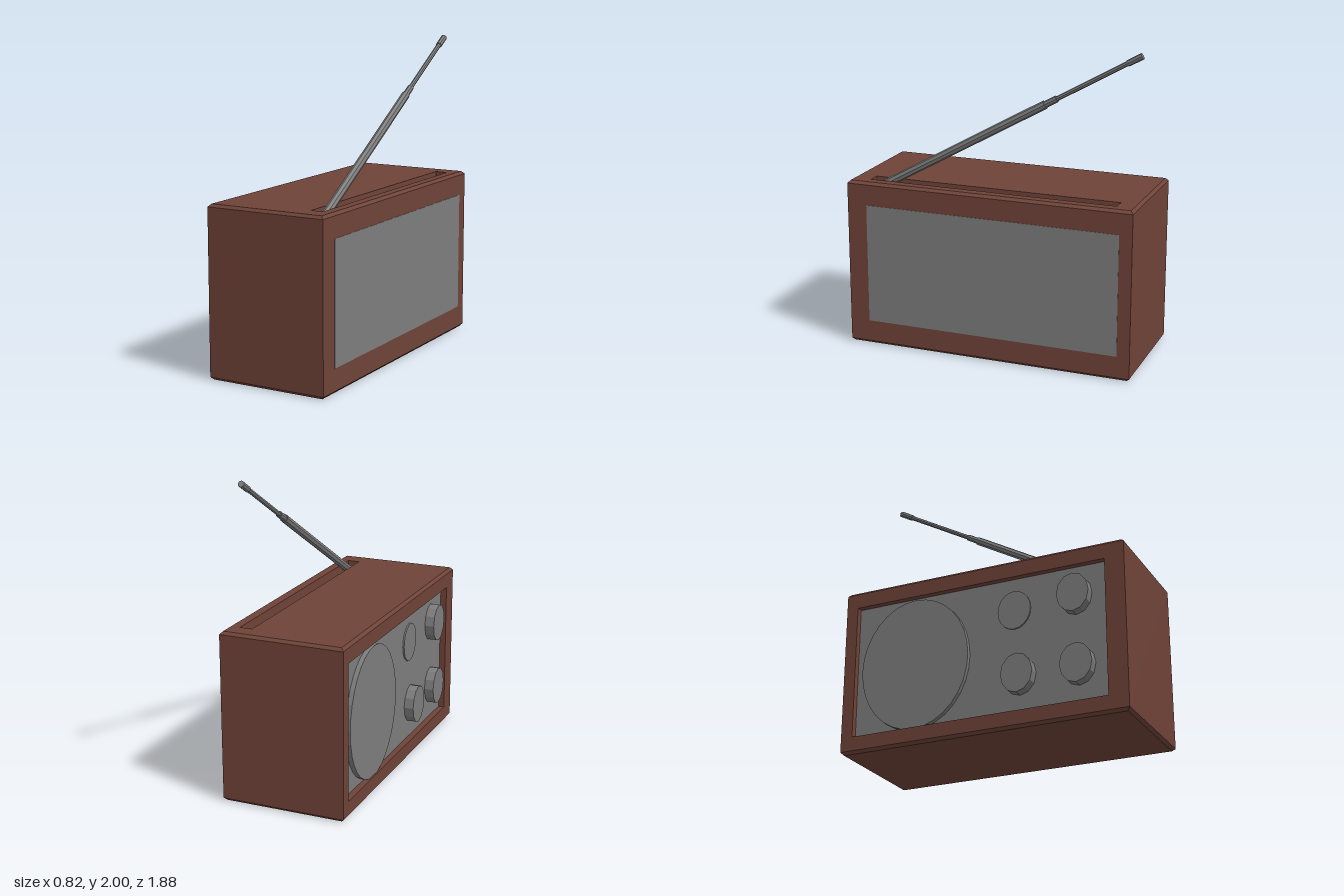
import * as THREE from 'three';

const grey = new THREE.MeshStandardMaterial({ color: 0x7d7d7d, flatShading: true });
const wood = new THREE.MeshStandardMaterial({ color: 0x6f4338, flatShading: true });

// Cabinet limits
const X0 = -0.39, X1 = 0.406, Z0 = -0.937, Z1 = 0.94, H = 1.084, C = 0.018;
// Control recess, antenna slot
const PANEL_X = -0.35, SLOT_Y = 0.98;

const flatLoop = (y, x0, x1, z0, z1) => [[x0, y, z1], [x1, y, z1], [x1, y, z0], [x0, y, z0]];
const sideLoop = (x, y0, y1, z0, z1) => [[x, y0, z0], [x, y0, z1], [x, y1, z1], [x, y1, z0]];

function cabinetGeometry() {
  const pos = [];
  const quad = (a, b, c, d) => pos.push(...a, ...b, ...c, ...a, ...c, ...d);
  const loft = (loops, skip = () => false) => {
    for (let k = 0; k < loops.length - 1; k++) {
      const a = loops[k], b = loops[k + 1];
      for (let i = 0; i < 4; i++) {
        const j = (i + 1) % 4;
        if (!skip(k, i)) quad(a[i], a[j], b[j], b[i]);
      }
    }
  };
  // Chamfered body, continuing over the top and down into the slot
  const base = flatLoop(0, X0 + C, X1 - C, Z0 + C, Z1 - C);
  loft([
    base,
    flatLoop(C, X0, X1, Z0, Z1),
    flatLoop(H - C, X0, X1, Z0, Z1),
    flatLoop(H, X0 + C, X1 - C, Z0 + C, Z1 - C),
    flatLoop(H, 0.25, 0.33, -0.815, 0.81),
    flatLoop(SLOT_Y, 0.25, 0.33, -0.815, 0.81),
  ], (k, i) => k === 1 && i === 3);
  quad(base[3], base[2], base[1], base[0]);
  // Control side with its recess
  loft([
    sideLoop(X0, C, H - C, Z0, Z1),
    sideLoop(X0, 0.107, 0.972, -0.86, 0.815),
    sideLoop(PANEL_X, 0.107, 0.972, -0.86, 0.815),
  ]);
  const g = new THREE.BufferGeometry();
  g.setAttribute('position', new THREE.Float32BufferAttribute(pos, 3));
  g.computeVertexNormals();
  return g;
}

export function createModel() {
  const model = new THREE.Group();
  const add = (name, geometry, material = grey) => {
    const m = new THREE.Mesh(geometry, material);
    m.name = name;
    model.add(m);
    return m;
  };
  const slab = (name, x0, x1, y0, y1, z0, z1) =>
    add(name, new THREE.BoxGeometry(x1 - x0, y1 - y0, z1 - z0))
      .position.set((x0 + x1) / 2, (y0 + y1) / 2, (z0 + z1) / 2);

  add('cabinet', cabinetGeometry(), wood);

  // Grey panels
  slab('sidePanel', X1 - 0.01, X1 + 0.002, 0.157, 0.932, -0.855, 0.81);
  slab('controlPanel', PANEL_X, PANEL_X + 0.01, 0.107, 0.972, -0.86, 0.815);
  slab('slotFloor', 0.25, 0.33, SLOT_Y - 0.01, SLOT_Y, -0.815, 0.81);

  // Oval discs standing on the control panel
  const disc = (name, y, z, r, rz, face, sides) => {
    const g = new THREE.CylinderGeometry(r, r, PANEL_X - face, sides);
    g.rotateZ(Math.PI / 2).scale(1, 1, rz / r);
    add(name, g).position.set((PANEL_X + face) / 2, y, z);
  };
  disc('speaker', 0.525, -0.447, 0.425, 0.365, -0.38, 32);
  disc('dial', 0.765, 0.215, 0.125, 0.108, -0.36, 20);
  for (const [y, z] of [[0.785, 0.615], [0.335, 0.627], [0.335, 0.25]])
    disc('knob', y, z, 0.124, 0.103, -0.412, 12);

  // Telescopic antenna: [name, start, end, radius] along its axis
  const from = new THREE.Vector3(0.303, 1.02, 0.785);
  const axis = new THREE.Vector3(0.245, 1.98, -0.925).sub(from);
  const length = axis.length();
  const antenna = new THREE.Group();
  antenna.name = 'antenna';
  antenna.position.copy(from);
  antenna.quaternion.setFromUnitVectors(new THREE.Vector3(0, 1, 0), axis.normalize());
  model.add(antenna);
  for (const [name, a, b, r] of [
    ['antennaTube', 0, 0.655, 0.027],
    ['antennaCollar', 0.655, 0.697, 0.021],
    ['antennaRod', 0.697, 0.952, 0.015],
    ['antennaTip', 0.95, 1, 0.02],
  ]) {
    const m = new THREE.Mesh(new THREE.CylinderGeometry(r, r, (b - a) * length, 8), grey);
    m.name = name;
    m.position.y = (a + b) / 2 * length;
    antenna.add(m);
  }
  return model;
}
